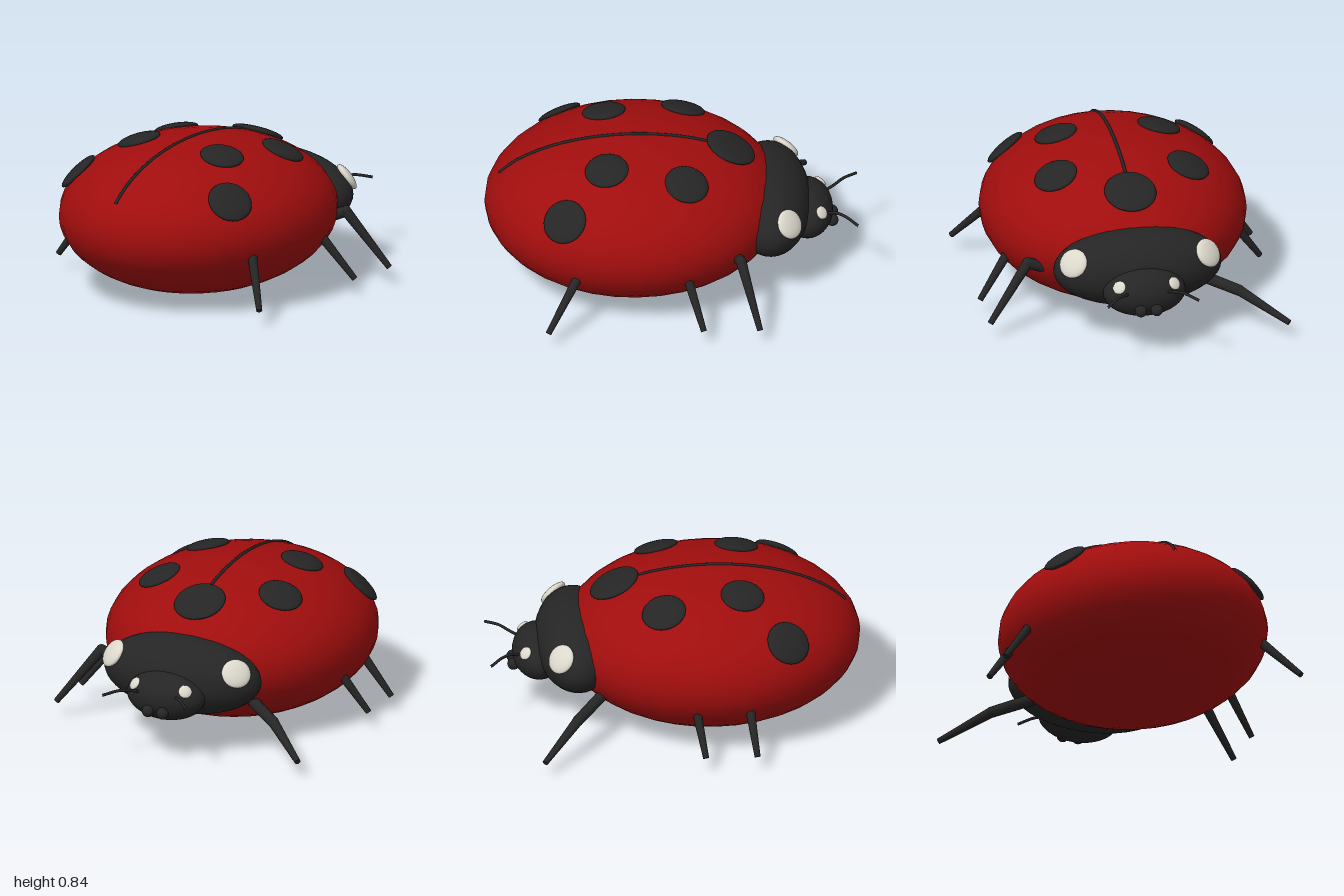
import * as THREE from 'three';

const red = new THREE.MeshStandardMaterial({ color: 0xa00d0d });
red.name = 'shellRed';
const black = new THREE.MeshStandardMaterial({ color: 0x252525 });
black.name = 'bodyBlack';
const cream = new THREE.MeshStandardMaterial({ color: 0xdcd8cc });
cream.name = 'markingCream';

const V = (x, y, z) => new THREE.Vector3(x, y, z);
const UP = V(0, 1, 0);

// Ellipsoids: centre c, radii r
const SHELL = { c: V(-0.2, 0.418, 0), r: V(0.8, 0.417, 0.712) };
const THORAX = { c: V(0.52, 0.402, 0), r: V(0.222, 0.212, 0.455) };
const HEAD = { c: V(0.72, 0.342, 0), r: V(0.14, 0.132, 0.223) };

export function createModel() {
  const root = new THREE.Group();
  root.name = 'ladybird';

  const add = (name, geometry, material) => {
    const mesh = new THREE.Mesh(geometry, material);
    mesh.name = name;
    root.add(mesh);
    return mesh;
  };

  const ellipsoid = (name, { c, r }, material, w = 32, h = 24) => {
    const mesh = add(name, new THREE.SphereGeometry(1, w, h), material);
    mesh.position.copy(c);
    mesh.scale.copy(r);
    return mesh;
  };

  // Flattened dome lying on an ellipsoid along the surface normal
  const dome = (name, { c, r }, point, radius, height, material) => {
    const d = point.clone().sub(c);
    d.divideScalar(d.clone().divide(r).length());
    const normal = d.clone().divide(r).divide(r).normalize();
    const mesh = ellipsoid(name, { c: d.add(c), r: V(radius, height, radius) }, material, 28, 14);
    mesh.quaternion.setFromUnitVectors(UP, normal);
  };

  // Tapered limb segment from a to b
  const limb = (name, a, b, ra, rb) => {
    const dir = b.clone().sub(a);
    const mesh = add(name, new THREE.CylinderGeometry(rb, ra, dir.length(), 12), black);
    mesh.position.copy(a).add(b).multiplyScalar(0.5);
    mesh.quaternion.setFromUnitVectors(UP, dir.normalize());
  };

  // Main masses
  ellipsoid('shell', SHELL, red);
  ellipsoid('thorax', THORAX, black);
  ellipsoid('head', HEAD, black);

  // Height of the shell's upper surface
  const shellY = (x, z) => SHELL.c.y + SHELL.r.y *
    Math.sqrt(1 - ((x - SHELL.c.x) / SHELL.r.x) ** 2 - (z / SHELL.r.z) ** 2);

  // Wing seam
  const seam = [-0.92, -0.84, -0.72, -0.5, -0.2, 0.1, 0.3].map(x => V(x, shellY(x, 0), 0));
  add('wingSeam', new THREE.TubeGeometry(new THREE.CatmullRomCurve3(seam), 32, 0.009, 8), black);

  // Shell spots
  dome('frontSpot', SHELL, V(0.315, shellY(0.315, 0), 0), 0.14, 0.028, black);
  for (const s of [1, -1]) {
    for (const [x, z, r] of [[0.07, 0.36, 0.119], [-0.355, 0.28, 0.117], [-0.585, 0.513, 0.12]]) {
      dome('shellSpot', SHELL, V(x, shellY(x, z * s), z * s), r, 0.028, black);
    }

    // Pale thorax markings, eyes, jaws and antennae
    dome('thoraxMarking', THORAX, V(0.612, 0.48, 0.34 * s), 0.08, 0.028, cream);
    dome('eye', HEAD, V(0.797, 0.408, 0.15 * s), 0.036, 0.014, cream);
    ellipsoid('jaw', { c: V(0.855, 0.287, 0.043 * s), r: V(0.033, 0.033, 0.033) }, black, 16, 12);
    const path = new THREE.CatmullRomCurve3([
      V(0.79, 0.36, 0.1 * s), V(0.86, 0.39, 0.125 * s),
      V(0.92, 0.402, 0.18 * s), V(0.99, 0.386, 0.25 * s)]);
    add('antenna', new THREE.TubeGeometry(path, 16, 0.008, 8), black);
  }

  // Legs in stride: hip, knee, foot
  const legs = [
    ['leftFrontLeg', V(0.34, 0.35, 0.48), V(0.355, 0.385, 0.565), V(0.45, 0.09, 0.785)],
    ['leftMiddleLeg', V(0.02, 0.35, 0.45), V(0.045, 0.385, 0.57), V(0.15, 0.09, 0.785)],
    ['leftBackLeg', V(-0.42, 0.35, 0.45), V(-0.48, 0.385, 0.57), V(-0.68, 0.09, 0.785)],
    ['rightFrontLeg', V(0.4, 0.255, -0.36), V(0.54, 0.212, -0.55), V(0.73, 0.09, -0.785)],
    ['rightMiddleLeg', V(-0.05, 0.35, -0.45), V(-0.07, 0.385, -0.58), V(-0.13, 0.09, -0.785)],
    ['rightBackLeg', V(-0.34, 0.35, -0.45), V(-0.36, 0.385, -0.58), V(-0.405, 0.09, -0.785)],
  ];
  for (const [name, hip, knee, foot] of legs) {
    limb(name + 'Upper', hip, knee, 0.032, 0.03);
    limb(name + 'Lower', knee, foot, 0.029, 0.016);
    ellipsoid(name + 'Knee', { c: knee, r: V(0.03, 0.03, 0.03) }, black, 12, 8);
  }
  return root;
}
